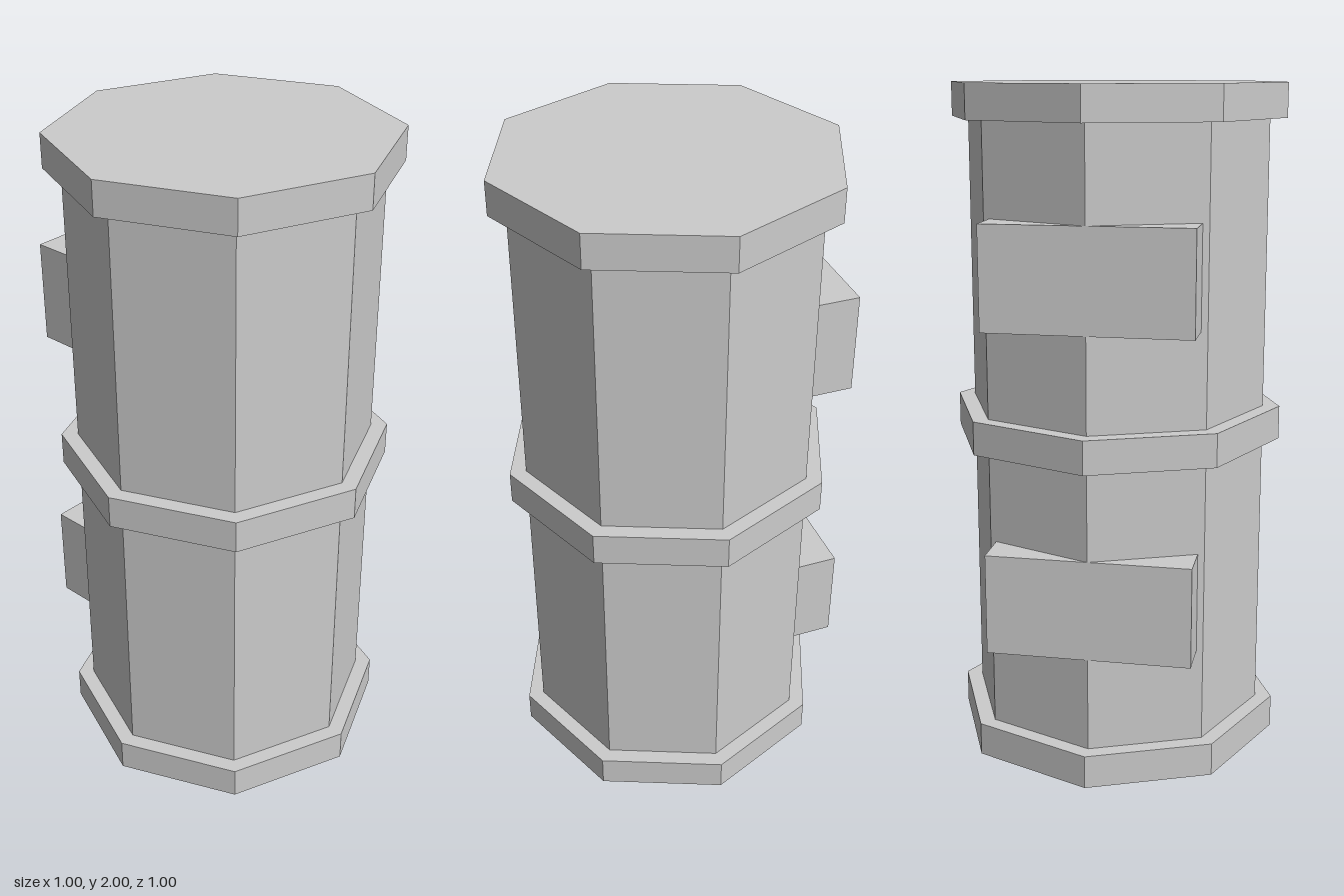
import * as THREE from 'three';

export function createModel() {
  const model = new THREE.Group();
  const material = new THREE.MeshStandardMaterial({ color: 0xcccccc, flatShading: true });

  const add = (name, geometry, y, z = 0) => {
    const mesh = new THREE.Mesh(geometry, material);
    mesh.name = name;
    mesh.position.set(0, y, z);
    model.add(mesh);
  };
  // Eight-sided prism between two heights, with a corner facing +z
  const prism = (name, radius, bottom, top) =>
    add(name, new THREE.CylinderGeometry(radius, radius, top - bottom, 8), (bottom + top) / 2);

  // Bands at the base, middle and top
  prism('bottomBand', 0.5, 0, 0.1);
  prism('middleBand', 0.5, 0.95, 1.05);
  prism('topBand', 0.5, 1.9, 2);

  // Two drum sections between the bands
  prism('lowerBody', 0.45, 0.1, 0.95);
  prism('upperBody', 0.45, 1.05, 1.9);

  // Rear mounting blocks, flush with the back corner of the body
  add('lowerBackBlock', new THREE.BoxGeometry(0.6, 0.3, 0.15), 0.53, -0.375);
  add('upperBackBlock', new THREE.BoxGeometry(0.6, 0.3, 0.15), 1.48, -0.375);

  return model;
}
